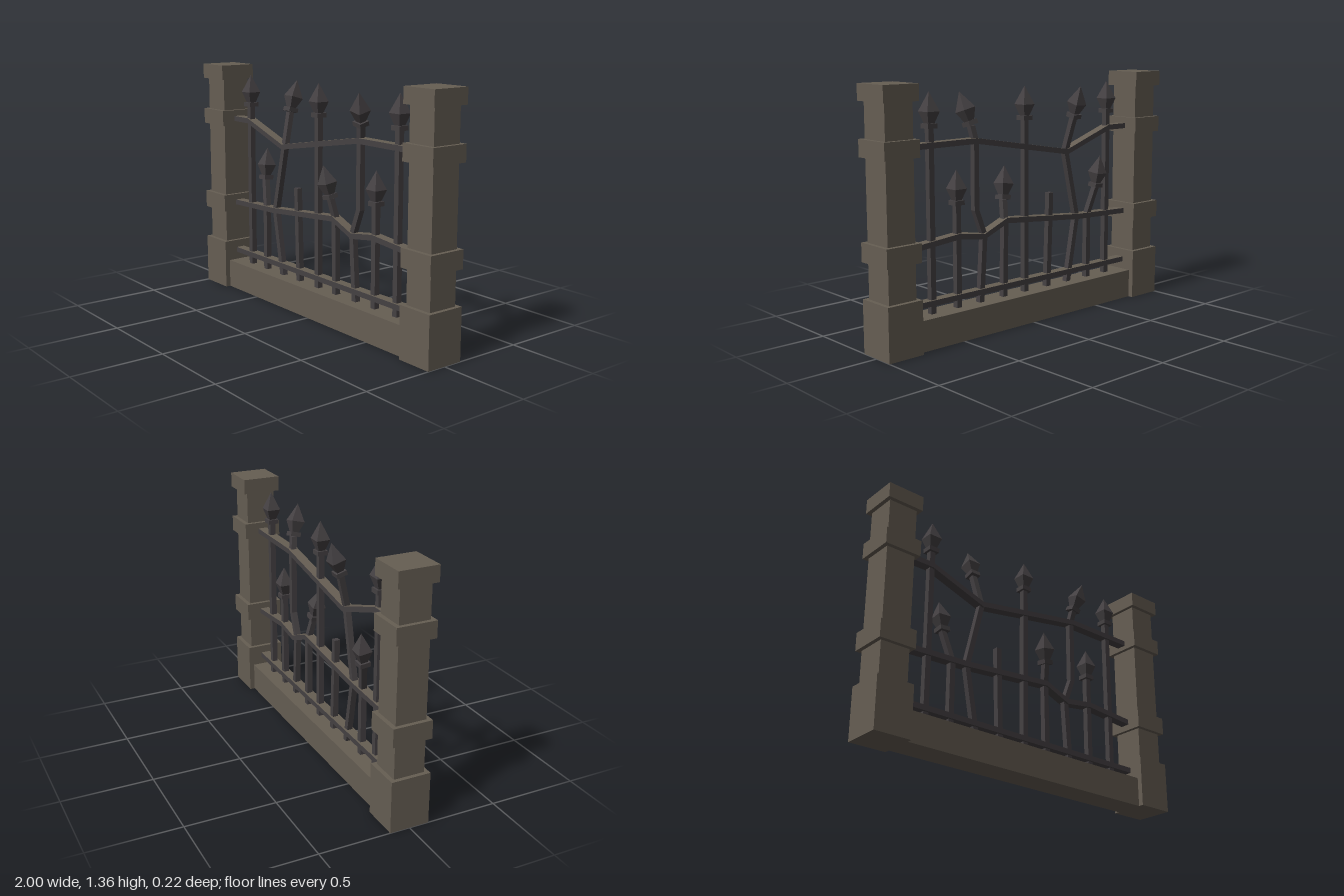
import * as THREE from 'three';

export function createModel() {
  const stone = new THREE.MeshStandardMaterial({ color: 0x665e53 });
  stone.name = 'stone';
  const iron = new THREE.MeshStandardMaterial({ color: 0x454143, flatShading: true });
  iron.name = 'iron';
  const model = new THREE.Group();
  model.name = 'brokenFence';

  const add = (parent, name, geometry, material) => {
    const mesh = new THREE.Mesh(geometry, material);
    mesh.name = name;
    parent.add(mesh);
    return mesh;
  };

  // Block spanning y0..y1
  const block = (parent, name, w, y0, y1, d) => {
    const m = add(parent, name, new THREE.BoxGeometry(w, y1 - y0, d), stone);
    m.position.y = (y0 + y1) / 2;
  };

  // Square bar through a list of points; a and b span its cross-section.
  // Material group 1 is the side facing +a, group 0 everything else.
  const sweep = (points, a, b) => {
    const rings = points.map((p) => [[-1, -1], [1, -1], [1, 1], [-1, 1]].map(
      ([s, t]) => p.clone().addScaledVector(a, s).addScaledVector(b, t)));
    const verts = [];
    const geometry = new THREE.BufferGeometry();
    const quad = (p, q, r, s, group) => {
      geometry.addGroup(verts.length / 3, 6, group);
      [p, q, r, p, r, s].forEach((v) => verts.push(v.x, v.y, v.z));
    };
    for (let i = 0; i < rings.length - 1; i++) {
      const [lo, hi] = [rings[i], rings[i + 1]];
      for (let k = 0; k < 4; k++) {
        const n = (k + 1) % 4;
        quad(lo[k], lo[n], hi[n], hi[k], k === 1 ? 1 : 0);
      }
    }
    const first = rings[0], last = rings[rings.length - 1];
    quad(first[3], first[2], first[1], first[0], 0);
    quad(last[0], last[1], last[2], last[3], 0);
    geometry.setAttribute('position', new THREE.Float32BufferAttribute(verts, 3));
    geometry.computeVertexNormals();
    return geometry;
  };
  const toVectors = (pts) => pts.map(([x, y, z = 0]) => new THREE.Vector3(x, y, z));

  // Stone posts with plinth, bands and cap
  for (const side of [-1, 1]) {
    const post = new THREE.Group();
    post.name = side < 0 ? 'rightPost' : 'leftPost';
    post.position.x = side * 0.895;
    block(post, 'postBase', 0.21, 0, 0.285, 0.218);
    block(post, 'postShaft', 0.166, 0.285, 1.275, 0.17);
    block(post, 'lowerBand', 0.21, 0.475, 0.575, 0.218);
    block(post, 'upperBand', 0.21, 1.0, 1.09, 0.218);
    block(post, 'postCap', 0.21, 1.275, 1.36, 0.218);
    model.add(post);
  }
  block(model, 'footWall', 1.58, 0, 0.165, 0.16);

  // Rails, with weathered upper faces
  const rails = {
    bottomRail: [[-0.8, 0.225], [0.8, 0.225]],
    middleRail: [[-0.8, 0.525], [-0.4, 0.54], [0.15, 0.59], [0.31, 0.525], [0.48, 0.55], [0.8, 0.523]],
    topRail: [[-0.8, 1.04], [-0.65, 1.04], [-0.31, 0.925], [0.36, 1.04], [0.8, 1.04]],
  };
  for (const [name, pts] of Object.entries(rails)) {
    add(model, name, sweep(toVectors(pts),
      new THREE.Vector3(0, 0.015, 0), new THREE.Vector3(0, 0, 0.027)), [iron, stone]);
  }

  // Spearhead: collar and four-sided point, 0.18 tall from its origin
  const addSpear = (parent, at, tip) => {
    const spear = new THREE.Group();
    spear.name = 'spearhead';
    const collar = add(spear, 'collar', new THREE.BoxGeometry(0.06, 0.025, 0.06), iron);
    collar.position.y = 0.012;
    const lower = new THREE.CylinderGeometry(0.055, 0.025, 0.065, 4, 1).rotateY(Math.PI / 4);
    add(spear, 'spearFlare', lower, iron).position.y = 0.0525;
    const upper = new THREE.ConeGeometry(0.055, 0.1, 4, 1).rotateY(Math.PI / 4);
    add(spear, 'spearPoint', upper, iron).position.y = 0.135;
    spear.position.copy(at);
    spear.quaternion.setFromUnitVectors(
      new THREE.Vector3(0, 1, 0), tip.clone().sub(at).normalize());
    parent.add(spear);
  };

  // Upright bars: path from the wall upwards, then the spear tip if any
  const bars = [
    { path: [[-0.65, 0.16], [-0.65, 1.125]], tip: [-0.65, 1.3] },
    { path: [[0, 0.16], [0, 1.125]], tip: [0, 1.3] },
    { path: [[0.65, 0.16], [0.65, 1.125]], tip: [0.65, 1.3] },
    { path: [[0.48, 0.16], [0.48, 0.715]], tip: [0.48, 0.895] },
    { path: [[-0.495, 0.16], [-0.495, 0.54], [-0.54, 0.7, -0.025]], tip: [-0.553, 0.87, -0.045] },
    { path: [[-0.33, 0.16], [-0.4, 0.54], [-0.31, 0.925], [-0.328, 1.12, -0.05]], tip: [-0.33, 1.29, -0.1] },
    { path: [[-0.172, 0.16], [-0.19, 0.703]] },
    { path: [[0.157, 0.16], [0.15, 0.59], [0.137, 0.7, 0.025]], tip: [0.105, 0.875, 0.05] },
    { path: [[0.325, 0.16], [0.3, 0.53], [0.355, 0.67], [0.355, 1.04], [0.37, 1.12, 0.012]], tip: [0.405, 1.28, 0.055] },
  ];
  bars.forEach(({ path, tip }) => {
    const bar = new THREE.Group();
    bar.name = tip ? 'spearBar' : 'brokenBar';
    const pts = toVectors(path);
    add(bar, 'shaft', sweep(pts,
      new THREE.Vector3(0, 0, 0.016), new THREE.Vector3(0.016, 0, 0)), [iron, iron]);
    if (tip) addSpear(bar, pts[pts.length - 1], toVectors([tip])[0]);
    model.add(bar);
  });

  return model;
}
